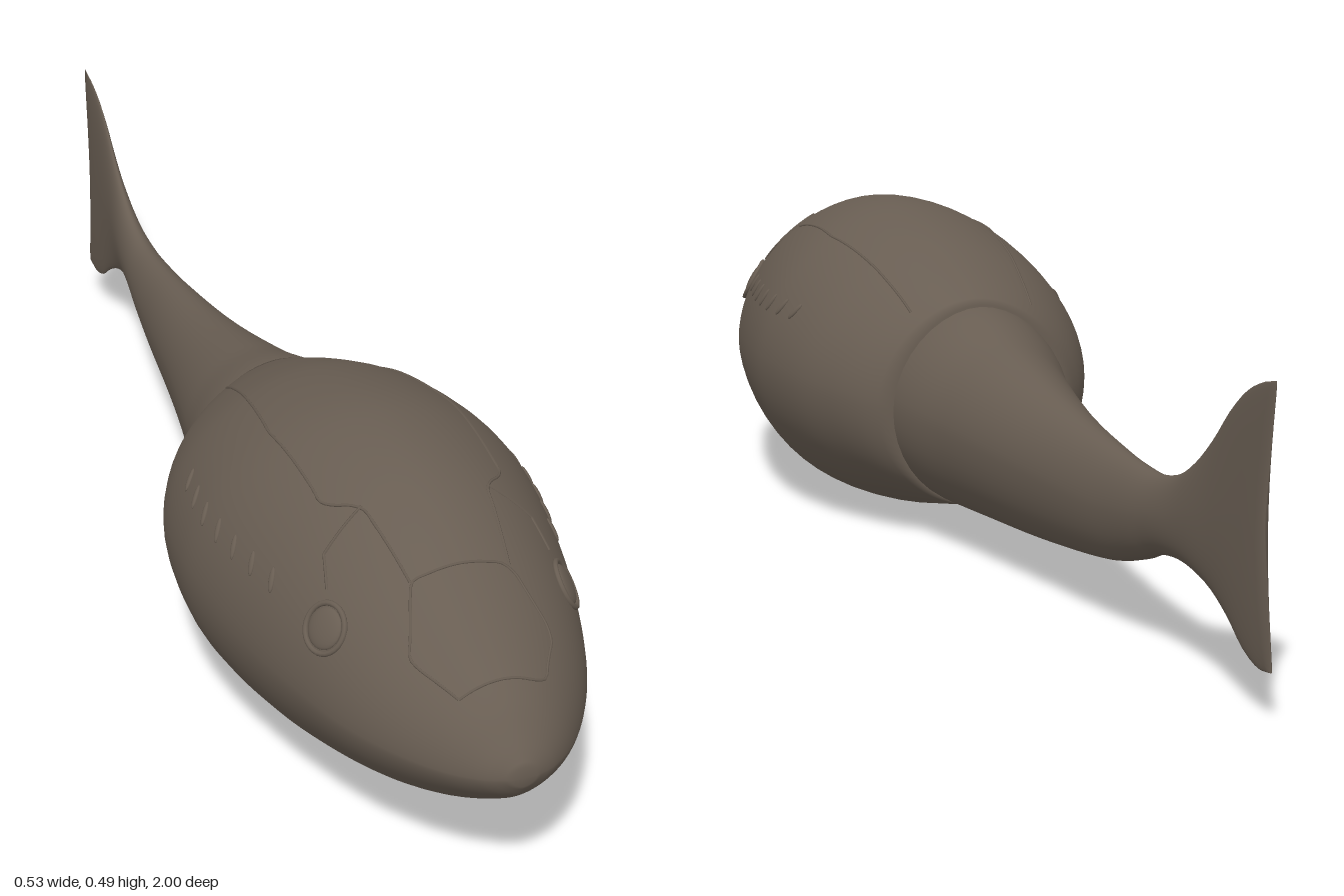
import * as THREE from 'three';

// Stations from nose to tail: [z, top, bottom, half width, height of the widest line]
const SHIELD = [
  [1.0, 0.235, 0.205, 0.018, 0.218], [0.985, 0.257, 0.183, 0.048, 0.216], [0.945, 0.302, 0.152, 0.092, 0.214],
  [0.88, 0.344, 0.113, 0.138, 0.214], [0.8, 0.392, 0.078, 0.178, 0.216], [0.7, 0.444, 0.045, 0.211, 0.222],
  [0.6, 0.475, 0.022, 0.236, 0.226], [0.48, 0.487, 0.006, 0.257, 0.23], [0.38, 0.479, 0.001, 0.263, 0.23],
  [0.25, 0.45, 0.014, 0.247, 0.225], [0.15, 0.412, 0.033, 0.212, 0.22], [0.09, 0.384, 0.045, 0.177, 0.215],
  [0.06, 0.37, 0.052, 0.145, 0.212],
];
const TAIL = [
  [0.2, 0.37, 0.06, 0.16, 0.21], [0.06, 0.367, 0.052, 0.144, 0.21], [-0.07, 0.33, 0.056, 0.112, 0.2],
  [-0.29, 0.283, 0.07, 0.073, 0.185], [-0.5, 0.257, 0.095, 0.047, 0.178], [-0.61, 0.25, 0.123, 0.036, 0.187],
  [-0.66, 0.252, 0.141, 0.031, 0.196], [-0.72, 0.267, 0.148, 0.025, 0.206], [-0.77, 0.295, 0.143, 0.02, 0.22],
  [-0.82, 0.335, 0.13, 0.015, 0.232], [-0.87, 0.383, 0.106, 0.012, 0.242], [-0.915, 0.415, 0.077, 0.01, 0.25],
  [-0.96, 0.434, 0.064, 0.008, 0.252], [-1.0, 0.443, 0.068, 0.005, 0.252],
];

// Smooth interpolation of a station table at z
function station(table, z) {
  let i = 0;
  while (i < table.length - 2 && z < table[i + 1][0]) i++;
  const p = table[i], q = table[i + 1], d = q[0] - p[0];
  const t = THREE.MathUtils.clamp((z - p[0]) / d, 0, 1);
  const before = table[Math.max(i - 1, 0)], after = table[Math.min(i + 2, table.length - 1)];
  const [top, bottom, width, mid] = [1, 2, 3, 4].map((k) => {
    const m0 = ((q[k] - before[k]) / (q[0] - before[0])) * d;
    const m1 = ((after[k] - p[k]) / (after[0] - p[0])) * d;
    const t2 = t * t, t3 = t2 * t;
    return (2 * t3 - 3 * t2 + 1) * p[k] + (t3 - 2 * t2 + t) * m0 + (3 * t2 - 2 * t3) * q[k] + (t3 - t2) * m1;
  });
  return { top, bottom, width, mid };
}

const upperPower = 1.87;
const lowerPower = (z) => 2 - 0.35 * THREE.MathUtils.smoothstep(z, 0.4, 1); // sharper jaw line near the snout

// Lofts rounded cross-sections along z and closes both ends
function loft(table, rings, sides, bias, notch = 0) {
  const pos = [], index = [];
  const z0 = table[0][0], z1 = table[table.length - 1][0];
  for (let i = 0; i <= rings; i++) {
    const z = z0 + (z1 - z0) * (i / rings) ** bias;
    const s = station(table, z);
    const back = notch * THREE.MathUtils.smoothstep(-z, 0.85, 1);
    for (let j = 0; j < sides; j++) {
      const a = (j / sides) * Math.PI * 2, c = Math.cos(a), n = Math.sin(a);
      const e = 2 / (n > 0 ? upperPower : lowerPower(z));
      const x = Math.sign(c) * s.width * Math.abs(c) ** e;
      const y = s.mid + (n > 0 ? s.top - s.mid : s.bottom - s.mid) * Math.abs(n) ** e;
      pos.push(x, y, z + back * (1 - n * n));
    }
  }
  for (let i = 0; i < rings; i++) {
    for (let j = 0; j < sides; j++) {
      const a = i * sides + j, b = i * sides + ((j + 1) % sides), c = a + sides, d = b + sides;
      index.push(a, c, b, b, c, d);
    }
  }
  for (const end of [0, rings]) {
    const s = station(table, end ? z1 : z0), centre = pos.length / 3;
    pos.push(0, s.mid, (end ? z1 : z0) + (end ? notch : 0));
    for (let j = 0; j < sides; j++) {
      const a = end * sides + j, b = end * sides + ((j + 1) % sides);
      index.push(centre, end ? b : a, end ? a : b);
    }
  }
  const g = new THREE.BufferGeometry();
  g.setAttribute('position', new THREE.Float32BufferAttribute(pos, 3));
  g.setIndex(index);
  g.computeVertexNormals();
  return g;
}

// Points on the upper shield, found from above (x, z) or from the side (y, z)
function onTop(x, z) {
  const s = station(SHIELD, z), u = Math.min(Math.abs(x) / s.width, 1);
  return new THREE.Vector3(x, s.mid + (s.top - s.mid) * (1 - u ** upperPower) ** (1 / upperPower), z);
}
function onSide(y, z) {
  const s = station(SHIELD, z), u = Math.min((y - s.mid) / (s.top - s.mid), 1);
  return new THREE.Vector3(s.width * (1 - u ** upperPower) ** (1 / upperPower), y, z);
}
function sideNormal(y, z) {
  const e = 0.01;
  const dy = onSide(y + e, z).sub(onSide(y - e, z)), dz = onSide(y, z + e).sub(onSide(y, z - e));
  return dy.cross(dz).normalize();
}

export function createModel() {
  const skin = new THREE.MeshStandardMaterial({ color: 0x685d52 });
  skin.name = 'greyBrownSkin';
  const model = new THREE.Group();
  const add = (name, geometry, parent = model) => {
    const mesh = new THREE.Mesh(geometry, skin);
    mesh.name = name;
    parent.add(mesh);
    return mesh;
  };

  // Armoured front half, and the tapering tail with its upright fin
  add('headShield', loft(SHIELD, 72, 64, 1.3));
  add('tail', loft(TAIL, 72, 40, 1, 0.028));

  // Fine plate seams following the shield
  const seam = (name, points) => {
    const path = new THREE.CurvePath();
    for (let i = 1; i < points.length; i++) {
      path.add(new THREE.LineCurve(new THREE.Vector2(...points[i - 1]), new THREE.Vector2(...points[i])));
    }
    const samples = path.getSpacedPoints(28).map((p) => onTop(p.x, p.y));
    add(name, new THREE.TubeGeometry(new THREE.CatmullRomCurve3(samples), 70, 0.0022, 5));
  };
  seam('snoutPlateSeam', [[-0.06, 0.92], [-0.1, 0.85], [-0.07, 0.77], [0.07, 0.77], [0.1, 0.85], [0.06, 0.92], [-0.06, 0.92]]);
  for (const side of [1, -1]) {
    seam('backPlateSeam', [[0.07, 0.77], [0.09, 0.64], [0.13, 0.6], [0.137, 0.4], [0.12, 0.25], [0.1, 0.1]].map(([x, z]) => [side * x, z]));
    seam('cheekSeam', [[0.09, 0.64], [0.15, 0.66], [0.16, 0.7]].map(([x, z]) => [side * x, z]));
  }

  // Eyes and the row of slits behind them
  const facing = new THREE.Vector3(0, 0, 1);
  for (const side of [1, -1]) {
    const place = (object, y, z) => {
      object.position.copy(onSide(y, z));
      const normal = sideNormal(y, z);
      if (normal.x < 0) normal.negate();
      object.position.x *= side;
      normal.x *= side;
      object.quaternion.setFromUnitVectors(facing, normal);
    };
    const eye = new THREE.Group();
    eye.name = side > 0 ? 'leftEye' : 'rightEye';
    add('eyeRim', new THREE.TorusGeometry(0.034, 0.004, 8, 28), eye);
    add('eyeball', new THREE.SphereGeometry(0.029, 24, 12).scale(1, 1, 0.25), eye);
    place(eye, 0.32, 0.73);
    model.add(eye);
    for (let i = 0; i < 7; i++) {
      const slit = add('sideSlit', new THREE.SphereGeometry(0.018, 12, 8).scale(0.3, 1, 0.2));
      place(slit, 0.333, 0.61 - i * 0.05);
    }
  }
  return model;
}
